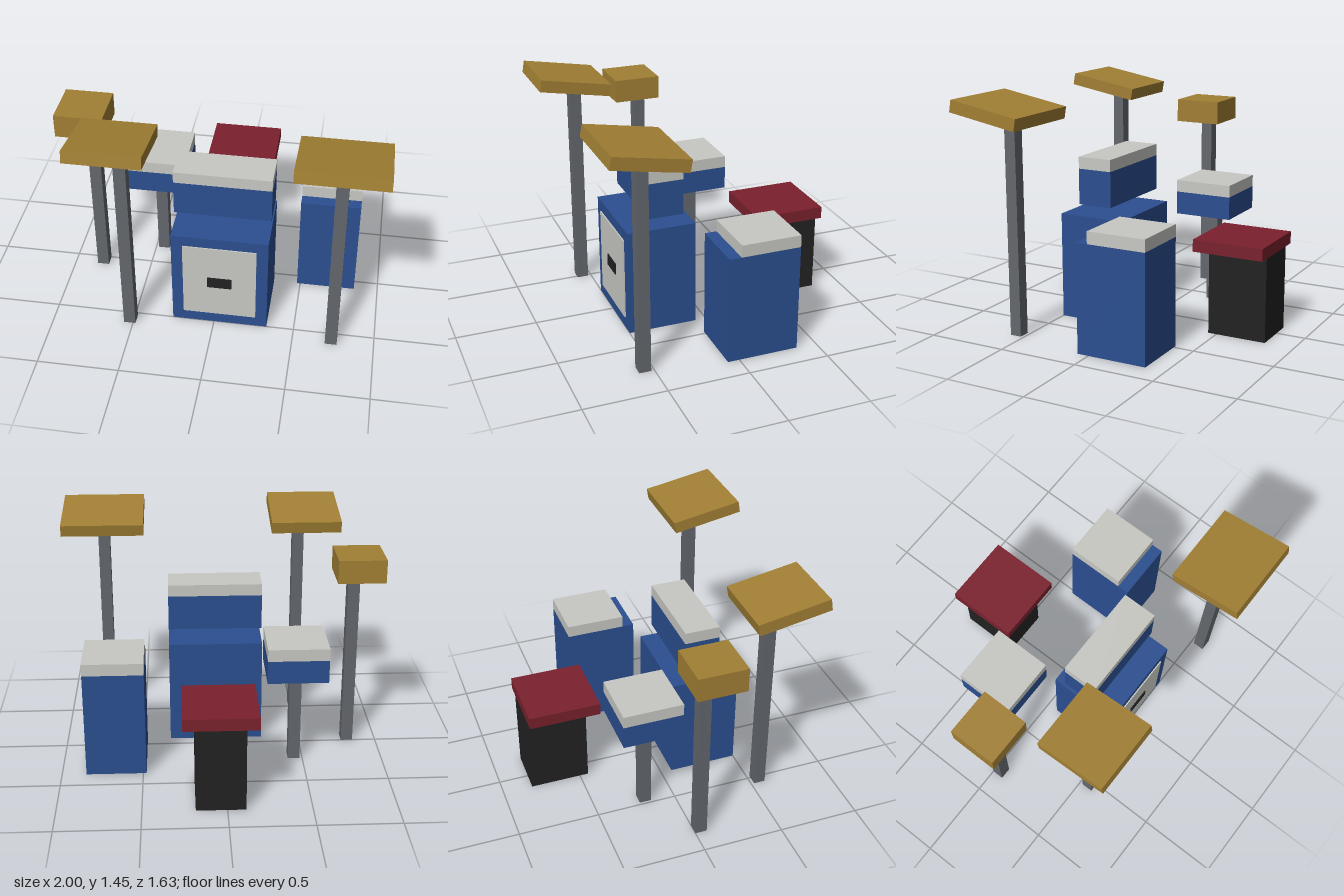
import * as THREE from 'three';

const mat = (name, color) => {
  const m = new THREE.MeshStandardMaterial({ color });
  m.name = name;
  return m;
};

export function createModel() {
  const kit = new THREE.Group();
  kit.name = 'drumKit';

  const blue = mat('shell blue', 0x2b4f90);
  const head = mat('head grey', 0xc8c8c3);
  const gold = mat('cymbal gold', 0xa28034);
  const steel = mat('stand grey', 0x63676d);
  const red = mat('seat red', 0x7a212d);
  const black = mat('black', 0x222222);

  // Box given by its extents along each axis
  const box = (parent, name, material, [x0, x1], [y0, y1], [z0, z1]) => {
    const mesh = new THREE.Mesh(new THREE.BoxGeometry(x1 - x0, y1 - y0, z1 - z0), material);
    mesh.position.set((x0 + x1) / 2, (y0 + y1) / 2, (z0 + z1) / 2);
    mesh.name = name;
    parent.add(mesh);
    return mesh;
  };
  const part = (name) => {
    const g = new THREE.Group();
    g.name = name;
    kit.add(g);
    return g;
  };

  // Bass drum with front head and dark badge
  const bass = part('bassDrum');
  box(bass, 'bassShell', blue, [-0.26, 0.33], [0, 0.667], [0.07, 0.5]);
  box(bass, 'bassHead', head, [-0.19, 0.26], [0.075, 0.597], [0.5, 0.508]);
  box(bass, 'bassBadge', black, [-0.04, 0.11], [0.297, 0.37], [0.508, 0.515]);

  // Rack tom above the bass drum
  const tom = part('rackTom');
  box(tom, 'tomShell', blue, [-0.26, 0.33], [0.742, 0.964], [0.147, 0.368]);
  box(tom, 'tomHead', head, [-0.26, 0.33], [0.964, 1.038], [0.147, 0.368]);

  // Floor tom; its head stops short of the front edge
  const floorTom = part('floorTom');
  box(floorTom, 'floorTomShell', blue, [0.48, 0.85], [0, 0.667], [-0.372, 0.072]);
  box(floorTom, 'floorTomHead', head, [0.48, 0.85], [0.667, 0.742], [-0.372, -0.002]);

  // Snare on a single post
  const snare = part('snare');
  box(snare, 'snareStand', steel, [-0.483, -0.409], [0, 0.595], [-0.224, -0.15]);
  box(snare, 'snareShell', blue, [-0.63, -0.26], [0.595, 0.74], [-0.372, -0.002]);
  box(snare, 'snareHead', head, [-0.63, -0.26], [0.74, 0.815], [-0.372, -0.002]);

  // Drummer's stool
  const stool = part('stool');
  box(stool, 'stoolBase', black, [-0.11, 0.186], [0, 0.521], [-0.816, -0.446]);
  box(stool, 'stoolSeat', red, [-0.186, 0.258], [0.521, 0.596], [-0.818, -0.372]);

  // Hi-hat
  const hat = part('hiHat');
  box(hat, 'hiHatStand', steel, [-0.852, -0.778], [0, 1.115], [0, 0.073]);
  box(hat, 'hiHatCymbals', gold, [-1, -0.705], [1.115, 1.262], [-0.076, 0.22]);

  // Tilted cymbals: stand x range, cymbal x range, cymbal centre z
  const cymbals = [
    ['crash', [-0.557, -0.484], [-0.78, -0.336], 0.59],
    ['ride', [0.702, 0.775], [0.48, 1], 0.58],
  ];
  for (const [name, standX, plateX, z] of cymbals) {
    const g = part(name);
    box(g, name + 'Stand', steel, standX, [0, 1.333], [0.52, 0.592]);
    const plate = box(g, name + 'Cymbal', gold, plateX, [1.333, 1.407], [z - 0.2225, z + 0.2225]);
    plate.rotation.x = -Math.PI / 18;
  }

  return kit;
}
